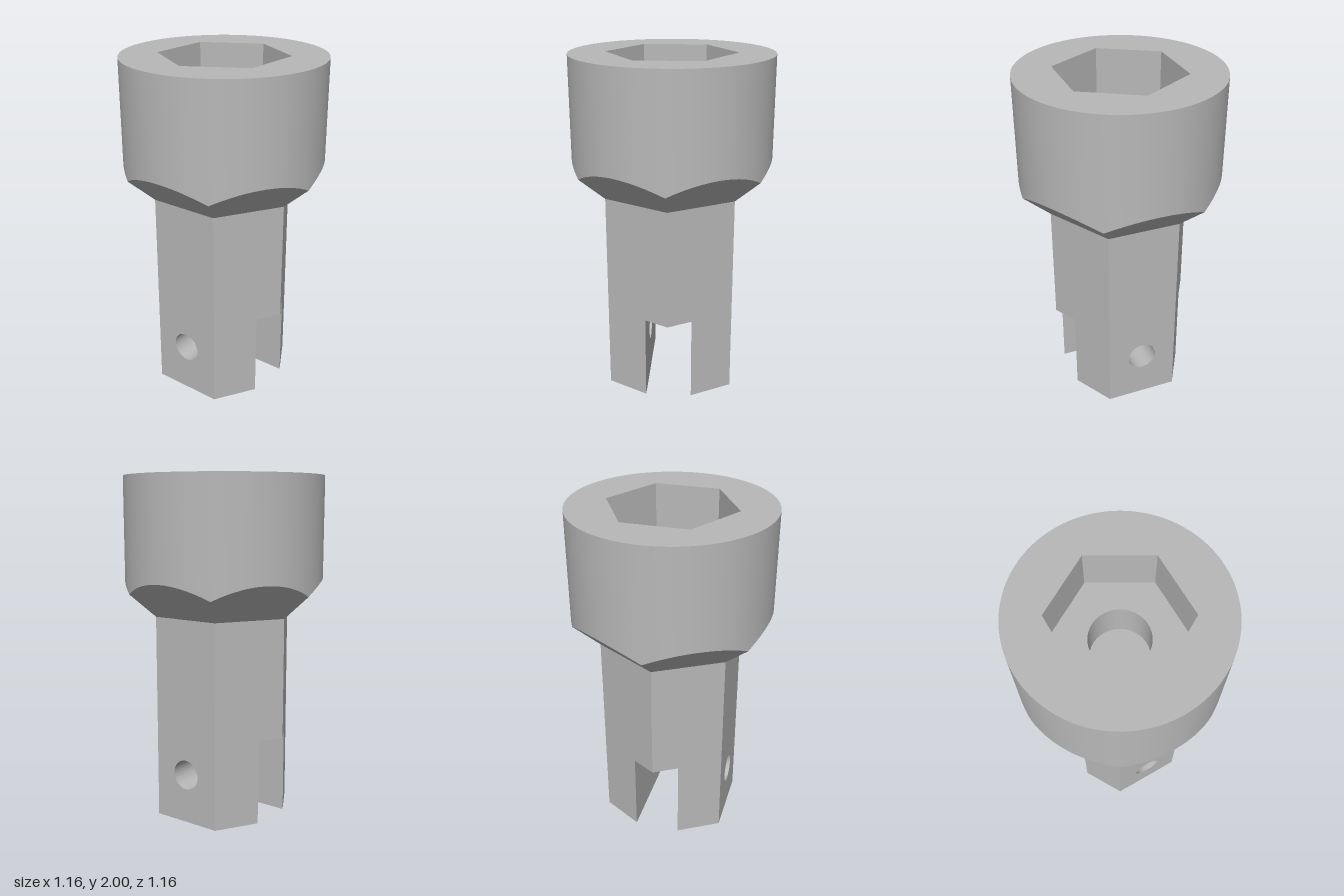
import * as THREE from 'three';
import { toCreasedNormals } from 'three/addons/utils/BufferGeometryUtils.js';

const SEGMENTS = 96;
const HEAD_RADIUS = 0.582;
const SHAFT_APOTHEM = 0.369;
const SOCKET_APOTHEM = 0.325;
const SLOT_TOP = 0.5, SHAFT_TOP = 1.2, SLOT_HALF = 0.135;

// Cosine of the angle to the middle of the nearest hexagon flat
function flatCos(a, offset) {
  const step = Math.PI / 3;
  const d = a - offset;
  return Math.cos(d - Math.round(d / step) * step);
}
const shaftHex = a => SHAFT_APOTHEM / flatCos(a, 0);
const socketHex = a => SOCKET_APOTHEM / flatCos(a, Math.PI / 6);
const circle = r => () => r;

// Skin a list of [radius(angle), height(angle)] rings
function skinRings(rings) {
  const positions = [], indices = [], row = SEGMENTS + 1;
  rings.forEach(([radius, height], i) => {
    for (let j = 0; j <= SEGMENTS; j++) {
      const a = ((j % SEGMENTS) / SEGMENTS) * Math.PI * 2;
      const r = radius(a);
      const y = typeof height === 'function' ? height(a) : height;
      positions.push(r * Math.sin(a), y, r * Math.cos(a));
      if (i > 0 && j > 0) {
        const d = i * row + j, c = d - 1, b = d - row, e = b - 1;
        indices.push(e, b, c, b, d, c);
      }
    }
  });
  const geometry = new THREE.BufferGeometry();
  geometry.setAttribute('position', new THREE.Float32BufferAttribute(positions, 3));
  geometry.setIndex(indices);
  return toCreasedNormals(geometry, 0.4);
}

// Drilled prong whose sides follow the hexagon
function prongGeometry() {
  const shape = new THREE.Shape();
  shape.moveTo(-0.35, 0);
  shape.lineTo(0.35, 0);
  shape.lineTo(0.35, SLOT_TOP);
  shape.lineTo(-0.35, SLOT_TOP);
  shape.closePath();
  const hole = new THREE.Path();
  hole.absarc(0, 0.288, 0.087, 0, Math.PI * 2, true);
  shape.holes.push(hole);
  const geometry = new THREE.ExtrudeGeometry(shape, {
    depth: SHAFT_APOTHEM - SLOT_HALF, bevelEnabled: false, curveSegments: 40,
  });
  geometry.translate(0, 0, SLOT_HALF);
  const p = geometry.attributes.position;
  const corner = SHAFT_APOTHEM * 2 / Math.sqrt(3);
  for (let i = 0; i < p.count; i++) {
    const x = p.getX(i);
    if (Math.abs(x) > 0.2) p.setX(i, Math.sign(x) * (corner - p.getZ(i) / Math.sqrt(3)));
  }
  return toCreasedNormals(geometry, 0.4);
}

export function createModel() {
  const model = new THREE.Group();
  model.name = 'hexSocketAdapter';
  const steel = new THREE.MeshStandardMaterial({ color: 0xb8b8b8 });
  steel.name = 'grey steel';

  const add = (name, geometry) => {
    const mesh = new THREE.Mesh(geometry, steel);
    mesh.name = name;
    model.add(mesh);
    return mesh;
  };

  // Hexagonal shaft with the slot ceiling as its underside
  add('shaft', skinRings([
    [circle(0), SLOT_TOP],
    [shaftHex, SLOT_TOP],
    [shaftHex, SHAFT_TOP],
  ]));

  // Round head: six-sided chamfer, wall, rim, hex socket and round recess
  const chamferTop = a => SHAFT_TOP + HEAD_RADIUS * flatCos(a, 0) - SHAFT_APOTHEM;
  add('head', skinRings([
    [shaftHex, SHAFT_TOP],
    [circle(HEAD_RADIUS), chamferTop],
    [circle(HEAD_RADIUS), 2],
    [socketHex, 2],
    [socketHex, 1.715],
    [circle(0.168), 1.715],
    [circle(0.168), 1.47],
    [circle(0), 1.47],
  ]));

  // Two prongs either side of the slot
  const prong = prongGeometry();
  add('frontProng', prong);
  add('backProng', prong).rotation.y = Math.PI;

  return model;
}
